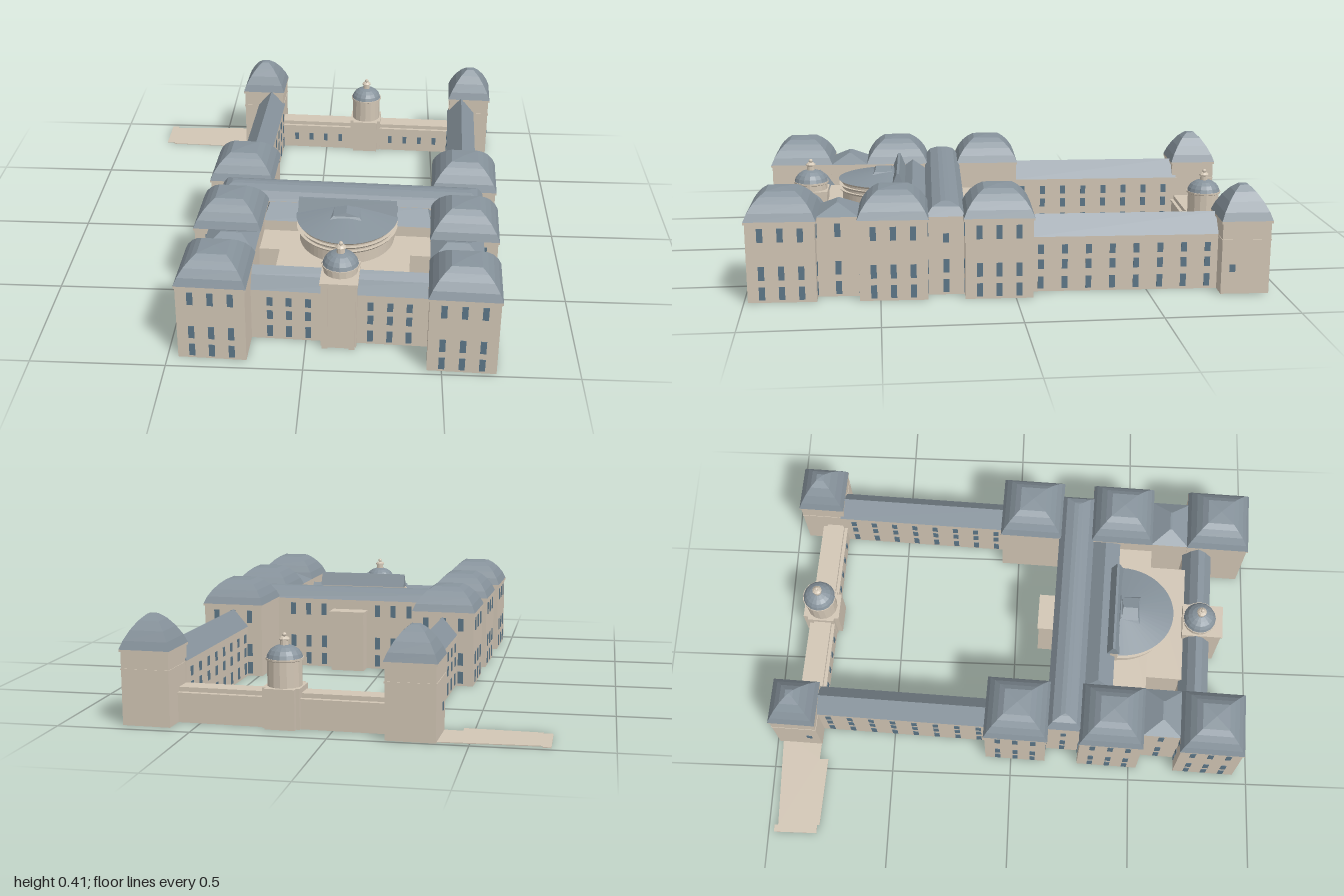
import * as THREE from 'three';
import { mergeGeometries } from 'three/addons/utils/BufferGeometryUtils.js';

export function createModel() {
  const model = new THREE.Group();
  model.name = 'palace';
  const plan = new THREE.Group(); // the whole plan is turned slightly on its site
  plan.name = 'palacePlan';
  plan.position.set(0.155, 0, 0.006);
  plan.rotation.y = -0.038;
  model.add(plan);

  const mat = (color) => new THREE.MeshStandardMaterial({ color, flatShading: true });
  const stone = mat(0xd2c6b5), slate = mat(0x87939c), glass = mat(0x5d7788);
  slate.side = THREE.DoubleSide;

  const add = (name, geometry, material, x = 0, y = 0, z = 0, parent = plan) => {
    const mesh = new THREE.Mesh(geometry, material);
    mesh.name = name;
    mesh.position.set(x, y, z);
    parent.add(mesh);
    return mesh;
  };

  // box centred on x, z with half sizes hx, hz between heights y0 and y1
  const block = (name, x, z, hx, hz, y0, y1, material = stone) =>
    add(name, new THREE.BoxGeometry(hx * 2, y1 - y0, hz * 2), material, x, (y0 + y1) / 2, z);

  // roof lofted through rectangles [half x, half z, height]
  const roof = (name, x, z, levels) => {
    const pos = [];
    const ring = ([a, b, y]) => [[-a, y, b], [a, y, b], [a, y, -b], [-a, y, -b]];
    for (let i = 0; i < levels.length - 1; i++) {
      const lo = ring(levels[i]), hi = ring(levels[i + 1]);
      for (let k = 0; k < 4; k++) {
        const n = (k + 1) % 4;
        pos.push(...lo[k], ...lo[n], ...hi[n], ...lo[k], ...hi[n], ...hi[k]);
      }
    }
    const top = ring(levels[levels.length - 1]);
    pos.push(...top[0], ...top[1], ...top[2], ...top[0], ...top[2], ...top[3]);
    const g = new THREE.BufferGeometry();
    g.setAttribute('position', new THREE.Float32BufferAttribute(pos, 3));
    g.computeVertexNormals();
    return add(name, g, slate, x, 0, z);
  };

  // windows: columns along a wall that faces x or z, rows as [centre height, window height]
  const panes = [];
  const windows = (axis, wall, columns, rows, w = 0.022) => {
    for (const c of columns) for (const [y, h] of rows) {
      const g = axis === 'z' ? new THREE.BoxGeometry(w, h, 0.005) : new THREE.BoxGeometry(0.005, h, w);
      g.translate(axis === 'z' ? c : wall, y, axis === 'z' ? wall : c);
      panes.push(g);
    }
  };
  const tallRows = [[0.035, 0.05], [0.112, 0.052], [0.256, 0.052]];
  const lowRows = [[0.035, 0.048], [0.107, 0.037], [0.165, 0.036]];
  const spread = (n, from, to) => Array.from({ length: n }, (_, i) => from + (to - from) * i / (n - 1));

  for (const s of [-1, 1]) {
    // three large pavilions on each side
    const px = s * 0.4535;
    for (const pz of [0.832, 0.423, 0.034]) {
      block('pavilionWalls', px, pz, 0.126, 0.126, 0, 0.3);
      block('pavilionCornice', px, pz, 0.131, 0.131, 0.298, 0.307);
      roof('pavilionRoof', px, pz, [[0.131, 0.131, 0.307], [0.118, 0.118, 0.336], [0.098, 0.098, 0.365],
        [0.076, 0.076, 0.387], [0.054, 0.054, 0.403], [0, 0, 0.408]]);
      const cols = [-0.073, 0, 0.073];
      windows('z', pz + 0.126, cols.map((c) => px + c), tallRows);
      windows('z', pz - 0.126, cols.map((c) => px + c), tallRows);
      windows('x', px + s * 0.126, cols.map((c) => pz + c), tallRows);
    }

    // narrow link between the front two pavilions
    block('linkWalls', s * 0.425, 0.628, 0.096, 0.085, 0, 0.3);
    block('linkCornice', s * 0.425, 0.628, 0.1, 0.078, 0.298, 0.306);
    roof('linkRoof', s * 0.425, 0.628, [[0.1, 0.078, 0.306], [0.04, 0.004, 0.346]]);
    windows('x', s * 0.521, [0.628], tallRows);

    // long courtyard wing
    const wx = s * 0.45;
    block('wingWalls', wx, -0.445, 0.058, 0.365, 0, 0.21);
    block('wingCornice', wx, -0.445, 0.062, 0.365, 0.207, 0.214);
    roof('wingRoof', wx, -0.445, [[0.062, 0.365, 0.214], [0, 0.365, 0.287]]);
    for (const d of [-1, 1]) windows('x', wx + d * 0.058, spread(8, -0.755, -0.125), lowRows);

    // corner tower at the back
    const tx = s * 0.487, tz = -0.885;
    block('towerWalls', tx, tz, 0.091, 0.091, 0, 0.275);
    block('towerCornice', tx, tz, 0.096, 0.096, 0.272, 0.281);
    block('towerStringCourse', tx, tz, 0.093, 0.093, 0.205, 0.211);
    roof('towerRoof', tx, tz, [[0.096, 0.096, 0.281], [0.084, 0.084, 0.312], [0.064, 0.064, 0.348],
      [0.04, 0.04, 0.38], [0.016, 0.016, 0.401], [0, 0, 0.404]]);
    windows('x', tx + s * 0.091, [tz + 0.05], [[0.1, 0.03]]);

    // front range and gate range windows
    windows('z', 0.813, [0.115, 0.187, 0.258].map((c) => s * c), lowRows);
    windows('z', -0.795, [0.12, 0.19, 0.26, 0.33].map((c) => s * c), [[0.055, 0.035]], 0.018);

    // courtyard face and gable end of the main range
    windows('x', s * 0.522, [0.229], [[0.035, 0.05], [0.112, 0.052], [0.22, 0.035]]);
    windows('z', 0.161, [0.12, 0.19, 0.26].map((c) => s * c), tallRows);
  }

  // main range across the courtyard, with a shallow projecting porch
  block('mainRangeWalls', 0, 0.229, 0.522, 0.068, 0, 0.297);
  block('mainRangeCornice', 0, 0.229, 0.527, 0.074, 0.294, 0.302);
  roof('mainRangeRoof', 0, 0.229, [[0.527, 0.074, 0.302], [0.505, 0.05, 0.335], [0.48, 0.018, 0.349], [0.47, 0, 0.351]]);
  block('porchWalls', 0, 0.13, 0.072, 0.035, 0, 0.25);
  block('porchCornice', 0, 0.128, 0.077, 0.038, 0.25, 0.26);

  // hall behind the main range, and its terrace
  block('hallWalls', 0, 0.355, 0.33, 0.06, 0, 0.28);
  roof('hallRoof', 0, 0.355, [[0.33, 0.064, 0.28], [0.31, 0, 0.33]]);
  block('terrace', 0, 0.485, 0.33, 0.073, 0, 0.235);
  block('terraceFront', 0, 0.63, 0.25, 0.075, 0, 0.235);

  // half-round hall with banded walls and a half-cone roof
  const halfRound = (name, rTop, rBottom, y0, y1, material) => {
    const m = add(name, new THREE.CylinderGeometry(rTop, rBottom, y1 - y0, 28, 1, false, -Math.PI / 2, Math.PI),
      material, 0, (y0 + y1) / 2, 0.43);
    m.scale.z = 1.13;
  };
  halfRound('rotundaWall', 0.184, 0.184, 0.2, 0.325, stone);
  for (const y of [0.285, 0.303, 0.321]) halfRound('rotundaBand', 0.196, 0.19, y, y + 0.008, stone);
  halfRound('rotundaRoof', 0.03, 0.197, 0.329, 0.366, slate);
  block('rotundaBackWall', 0, 0.415, 0.186, 0.016, 0.2, 0.34);
  roof('rotundaRidgeRoof', 0, 0.41, [[0.192, 0.026, 0.33], [0.19, 0.005, 0.385]]);
  roof('rotundaDormer', 0, 0.47, [[0.078, 0.058, 0.335], [0.05, 0.035, 0.362], [0, 0.03, 0.376]]);

  // front range
  block('frontRangeWalls', 0, 0.755, 0.33, 0.058, 0, 0.21);
  block('frontRangeCornice', 0, 0.755, 0.33, 0.062, 0.207, 0.214);
  roof('frontRangeRoof', 0, 0.755, [[0.33, 0.062, 0.214], [0.33, 0.03, 0.262], [0.33, 0, 0.286]]);

  // domed cupola with lantern and ball
  const cupola = (z, y) => {
    const g = new THREE.Group();
    g.name = 'cupola';
    g.position.set(0, y, z);
    plan.add(g);
    const lathe = (name, pts, seg, m) =>
      add(name, new THREE.LatheGeometry(pts.map(([r, h]) => new THREE.Vector2(r, h)), seg), m, 0, 0, 0, g);
    lathe('cupolaDrum', [[0, 0], [0.064, 0], [0.064, 0.022], [0.07, 0.025], [0.07, 0.032], [0, 0.032]], 16, stone);
    lathe('cupolaDome', [[0.067, 0.032], [0.062, 0.046], [0.052, 0.06], [0.036, 0.071], [0.018, 0.077], [0, 0.078]], 16, slate);
    lathe('cupolaLantern', [[0.016, 0.072], [0.015, 0.094], [0.02, 0.096], [0.02, 0.1], [0.012, 0.107], [0, 0.109]], 10, stone);
    add('cupolaBall', new THREE.SphereGeometry(0.008, 10, 8), stone, 0, 0.114, 0, g);
  };

  // entrance tower in the middle of the front
  block('portalBody', 0, 0.77, 0.066, 0.072, 0, 0.278);
  for (const s of [-1, 1]) block('portalPier', s * 0.05, 0.848, 0.011, 0.012, 0, 0.268);
  block('portalPanel', 0, 0.844, 0.04, 0.008, 0, 0.268);
  block('portalLintel', 0, 0.848, 0.061, 0.013, 0.265, 0.276);
  block('portalCornice', 0, 0.78, 0.07, 0.084, 0.276, 0.286);
  cupola(0.764, 0.286);

  // low gate range at the back, with parapets
  block('gateRange', 0, -0.844, 0.4, 0.049, 0, 0.105);
  block('gateRangeCornice', 0, -0.844, 0.4, 0.054, 0.105, 0.113);
  block('gateRangeAttic', 0, -0.841, 0.4, 0.037, 0.113, 0.13);

  // gate tower
  add('gateTower', new THREE.CylinderGeometry(0.064, 0.064, 0.225, 16), stone, 0, 0.1125, -0.847);
  block('gateTowerBase', 0, -0.847, 0.056, 0.076, 0, 0.15);
  block('gateTowerShoulders', 0, -0.847, 0.07, 0.056, 0, 0.15);
  cupola(-0.847, 0.222);

  // flat paved terrace beside the back tower
  const outline = [[-0.78, -0.978], [-0.75, -0.978], [-0.75, -0.963], [-0.35, -0.978], [-0.35, -0.81],
    [-0.46, -0.815], [-0.46, -0.778], [-0.745, -0.79], [-0.745, -0.8], [-0.78, -0.8]];
  const paving = new THREE.ExtrudeGeometry(new THREE.Shape(outline.map(([x, z]) => new THREE.Vector2(x, -z))),
    { depth: 0.003, bevelEnabled: false });
  paving.rotateX(-Math.PI / 2);
  add('paving', paving, stone, 0, 0, 0, model);

  add('windows', mergeGeometries(panes), glass);
  return model;
}
